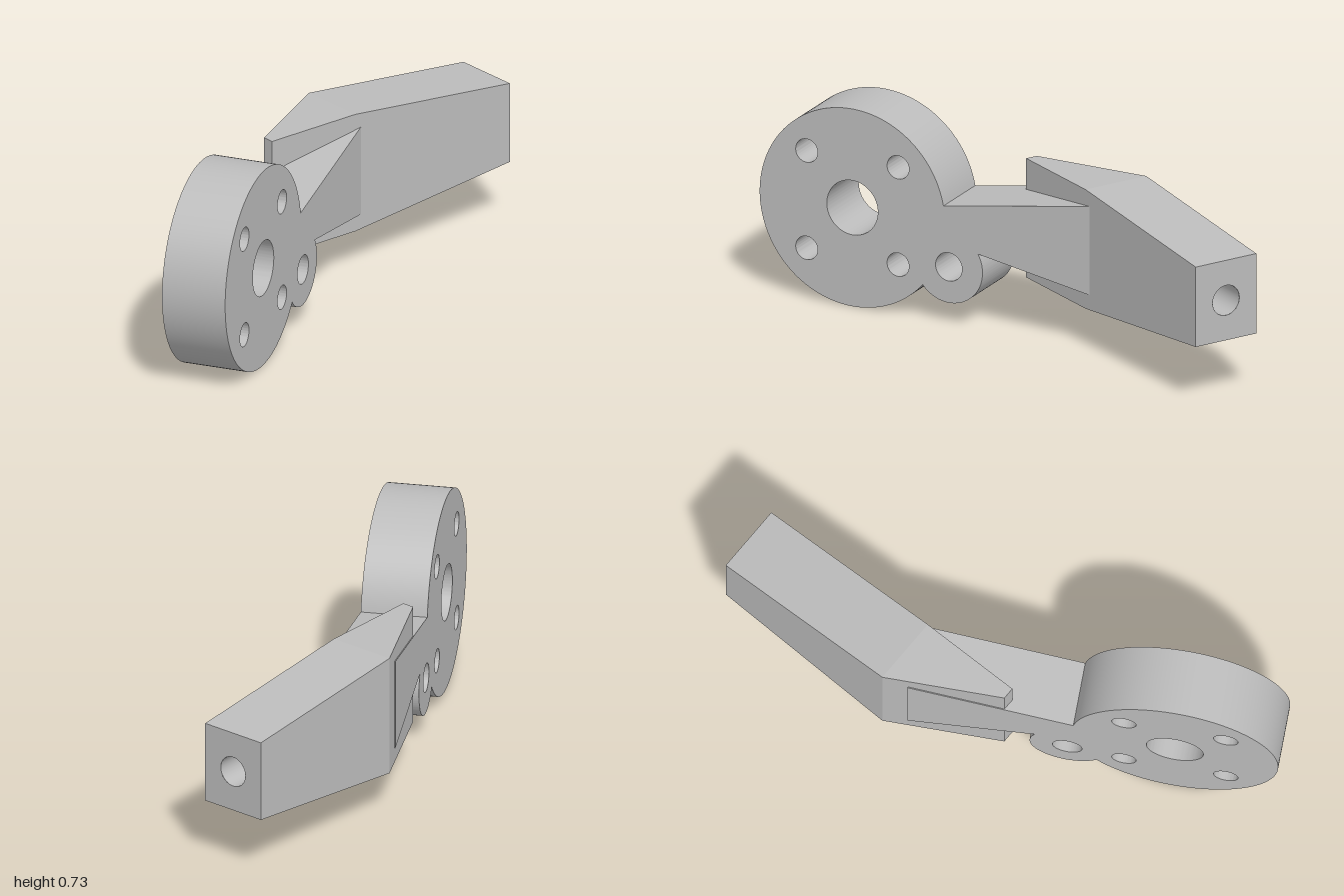
import * as THREE from 'three';
import { toCreasedNormals } from 'three/addons/utils/BufferGeometryUtils.js';

const CY = 0.363;                       // height of the centre line
const LEN = 1.072, BEND = 0.696, W = 0.125; // arm length, start of taper, half width
const half = z => 0.147 + 0.072 * Math.min(z / BEND, 1); // arm half height

export function createModel() {
  const grey = new THREE.MeshStandardMaterial({ color: 0xbcbcbc, side: THREE.DoubleSide });
  grey.name = 'grey metal';
  const model = new THREE.Group();
  model.name = 'bracketArm';

  const add = (parent, name, geometry) => {
    const mesh = new THREE.Mesh(geometry, grey);
    mesh.name = name;
    parent.add(mesh);
    return mesh;
  };
  const circle = (x, y, r) => new THREE.Path().absarc(x, y, r, 0, Math.PI * 2, true);

  // Disc, pivot ear and flared neck as one plate; shape x runs towards -z
  const plate = new THREE.Shape();
  plate.absarc(-0.638, CY, 0.363, 0.187, Math.PI * 2 - 0.705, false);
  plate.absarc(-0.26, 0.21, 0.132, -2.437, 0.528, false);
  plate.lineTo(0.3, 0.199);
  plate.lineTo(0.3, 0.529);
  plate.closePath();
  plate.holes.push(circle(-0.638, CY, 0.1), circle(-0.26, 0.21, 0.052));
  for (const i of [-1, 1]) for (const j of [-1, 1]) {
    plate.holes.push(circle(-0.638 + i * 0.179, CY + j * 0.179, 0.043));
  }
  const plateGeo = new THREE.ExtrudeGeometry(plate, { depth: 0.234, bevelEnabled: false, curveSegments: 56 });
  plateGeo.rotateY(Math.PI / 2);
  plateGeo.translate(-0.28, 0, 0);
  add(model, 'mountingPlate', toCreasedNormals(plateGeo, 0.5));

  // Angled arm: local z runs from the free end back to the plate
  const arm = new THREE.Group();
  arm.name = 'angledArm';
  arm.position.set(0.168, CY, -0.94);
  arm.rotation.y = -0.502;
  model.add(arm);

  // Flat face from a 2D outline, placed in space by a rule
  const face = (name, pts, map, hole) => {
    const shape = new THREE.Shape(pts.map(p => new THREE.Vector2(...p)));
    if (hole) shape.holes.push(hole);
    const geo = new THREE.ShapeGeometry(shape, 32);
    const pos = geo.attributes.position;
    for (let i = 0; i < pos.count; i++) pos.setXYZ(i, ...map(pos.getX(i), pos.getY(i)));
    geo.computeVertexNormals();
    return add(arm, name, geo);
  };
  const CLIP = 0.081;                   // where the plate's outer plane cuts the root
  const taper = [[-W, 0], [W, 0], [W, BEND], [-W, BEND]];
  const root = [[-W, BEND], [W, BEND], [W, LEN], [CLIP, LEN]];
  const swap = pts => pts.map(([a, b]) => [b, a]);
  const up = (z, x) => [x, half(z), z];
  const down = (x, z) => [x, -half(z), z];
  const exitZ = 0.52, exitR = 0.038, boreR = 0.055;

  face('armTopTaper', swap(taper), up);
  face('armTopRoot', swap(root), up);
  face('armBottomTaper', taper, down, circle(0, exitZ, exitR));
  face('armBottomRoot', root, down);

  // Side walls
  const h0 = half(0), h1 = half(LEN);
  face('armInnerSide', [[-h0, 0], [h0, 0], [h1, BEND], [h1, LEN], [-h1, LEN], [-h1, BEND]],
    (y, z) => [W, y, z]);
  face('armOuterSide', [[0, -h0], [BEND, -h1], [BEND, h1], [0, h0]], (z, y) => [-W, y, z]);
  face('armRootSide', [[0, -h1], [1, -h1], [1, h1], [0, h1]],
    (t, y) => [-W + t * (CLIP + W), y, BEND + t * (LEN - BEND)]);
  face('armRootEnd', [[CLIP, -h1], [W, -h1], [W, h1], [CLIP, h1]], (x, y) => [x, y, LEN]);
  face('armFreeEnd', [[-h0, -W], [h0, -W], [h0, W], [-h0, W]], (y, x) => [x, y, 0],
    circle(0, 0, boreR));

  // Long bore in the free end, closed at the back
  const boreLen = 0.57;
  const bore = new THREE.CylinderGeometry(boreR, boreR, boreLen, 32, 1, true);
  bore.rotateX(Math.PI / 2);
  bore.translate(0, 0, boreLen / 2);
  add(arm, 'endBore', bore);
  const boreEnd = add(arm, 'endBoreFloor', new THREE.CircleGeometry(boreR, 32));
  boreEnd.position.z = boreLen;
  boreEnd.rotation.y = Math.PI;

  // Cross hole rising from the sloping underside to the bore
  const exit = new THREE.CylinderGeometry(exitR, exitR, 1, 32, 1, true);
  exit.translate(0, 0, exitZ);
  const p = exit.attributes.position;
  for (let i = 0; i < p.count; i++) p.setY(i, p.getY(i) > 0 ? -0.035 : -half(p.getZ(i)));
  add(arm, 'crossHole', exit);

  return model;
}
